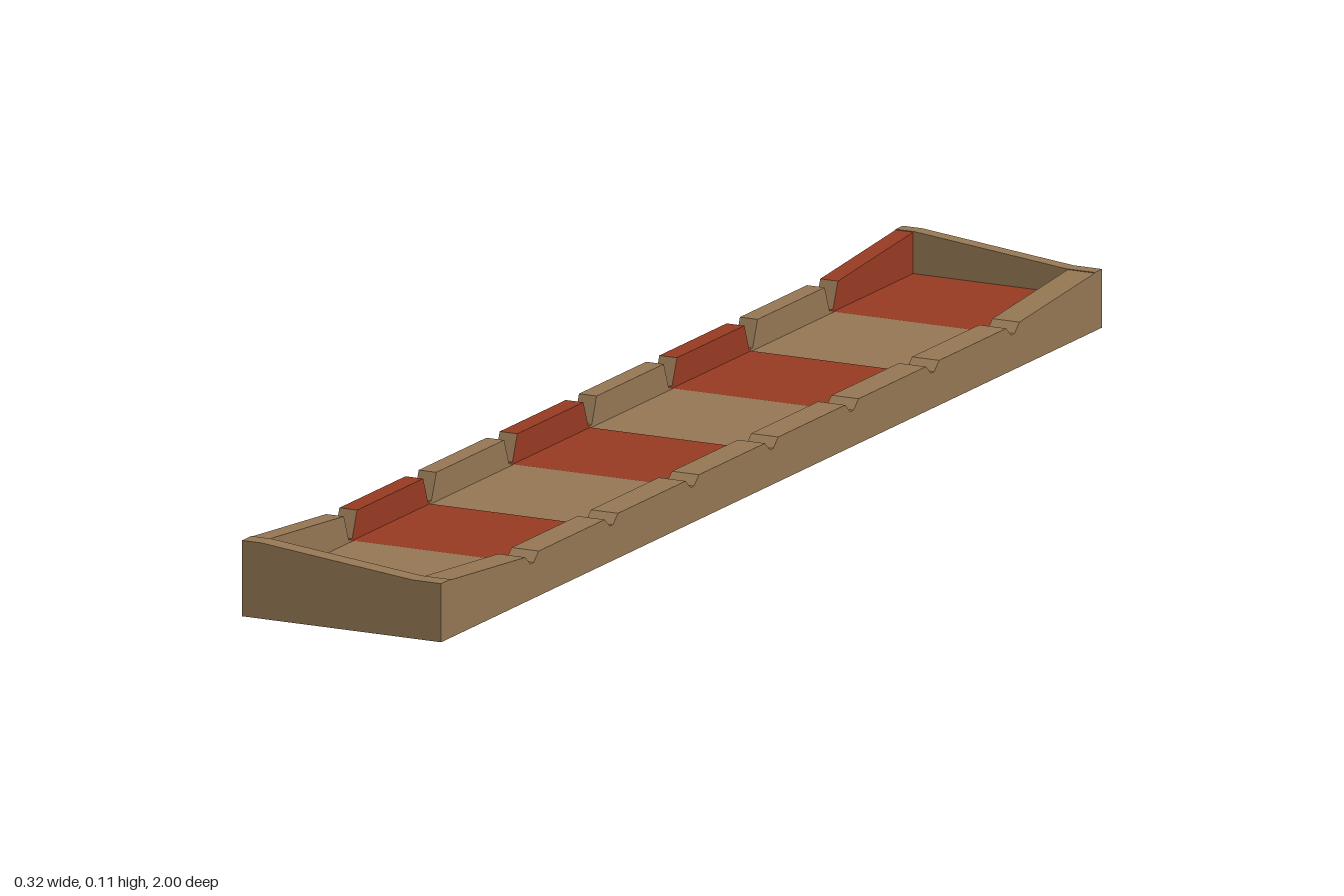
import * as THREE from 'three';

const wood = new THREE.MeshStandardMaterial({ color: 0x967854 });
wood.name = 'wood brown';
const red = new THREE.MeshStandardMaterial({ color: 0x993b23 });
red.name = 'brick red';

const FLOOR = 0.048, NOTCH = 0.052;
const BACK = -0.978, FRONT = 0.972; // inner faces of the end walls
const BREAKS = [BACK, -0.73, -0.487, -0.243, 0, 0.24, 0.485, 0.725, FRONT];

const toShape = (pts) => new THREE.Shape(pts.map(([a, b]) => new THREE.Vector2(a, b)));

// Side wall block: z-y outline with chamfered ends at the notches, extruded across x
function wallBlock(i, xMin, xMax, top, endTop, painted) {
  const z0 = BREAKS[i], z1 = BREAKS[i + 1];
  const first = i === 0, last = i === BREAKS.length - 2;
  const pts = [[z0, 0], [z1, 0]];
  if (last) pts.push([z1, endTop]);
  else pts.push([z1, NOTCH], [z1 - 0.005, NOTCH], [z1 - 0.02, top]);
  if (first) pts.push([z0, endTop]);
  else pts.push([z0 + 0.02, top], [z0 + 0.005, NOTCH], [z0, NOTCH]);

  const geo = new THREE.ExtrudeGeometry(toShape(pts), { depth: xMax - xMin, bevelEnabled: false });
  geo.rotateY(-Math.PI / 2);
  geo.translate(xMax, 0, 0);

  // Paint the sides and top; the notch slopes and underside stay bare
  geo.clearGroups();
  const n = geo.attributes.normal;
  for (let v = 0; v < n.count; v += 3) {
    const bare = Math.abs(n.getZ(v)) > 0.5 || n.getY(v) < -0.5;
    geo.addGroup(v, 3, painted && !bare ? 1 : 0);
  }
  return new THREE.Mesh(geo, [wood, red]);
}

export function createModel() {
  const model = new THREE.Group();
  model.name = 'slottedTray';
  const add = (mesh, name) => {
    mesh.name = name;
    model.add(mesh);
    return mesh;
  };

  // Floor slab
  const floor = add(new THREE.Mesh(new THREE.BoxGeometry(0.27, FLOOR, 1.96), wood), 'floor');
  floor.position.set(-0.005, FLOOR / 2, 0);

  // End walls, sloping from the tall side to the low side
  const endShape = toShape([
    [-0.158, 0], [0.158, 0], [0.158, 0.085], [0.113, 0.085], [-0.127, 0.11], [-0.158, 0.11],
  ]);
  for (const [name, z0, z1] of [['backWall', -1, BACK], ['frontWall', FRONT, 1]]) {
    const geo = new THREE.ExtrudeGeometry(endShape, { depth: z1 - z0, bevelEnabled: false });
    geo.translate(0, 0, z0);
    add(new THREE.Mesh(geo, wood), name);
  }

  // Notched side walls and painted floor bands
  for (let i = 0; i < BREAKS.length - 1; i++) {
    const painted = i % 2 === 0;
    add(wallBlock(i, -0.158, -0.13, 0.09, 0.109, painted), 'tallWallBlock' + i);
    add(wallBlock(i, 0.115, 0.158, 0.065, 0.084, false), 'lowWallBlock' + i);
    if (!painted) continue;
    const z0 = BREAKS[i], z1 = BREAKS[i + 1] - 0.006, c = 0.015;
    const band = new THREE.ShapeGeometry(toShape([
      [-0.13, -z1], [0.09, -z1], [0.108, -z1 + c], [0.114, -z1 + 0.06],
      [0.114, -z0 - 0.06], [0.108, -z0 - c], [0.09, -z0], [-0.13, -z0],
    ]));
    band.rotateX(-Math.PI / 2);
    add(new THREE.Mesh(band, red), 'floorBand' + i).position.y = FLOOR + 0.001;
  }

  // Painted patch under the back end
  const patch = new THREE.PlaneGeometry(0.316, 0.262);
  patch.rotateX(Math.PI / 2);
  add(new THREE.Mesh(patch, red), 'undersidePatch').position.set(0, -0.0008, -0.869);

  return model;
}
